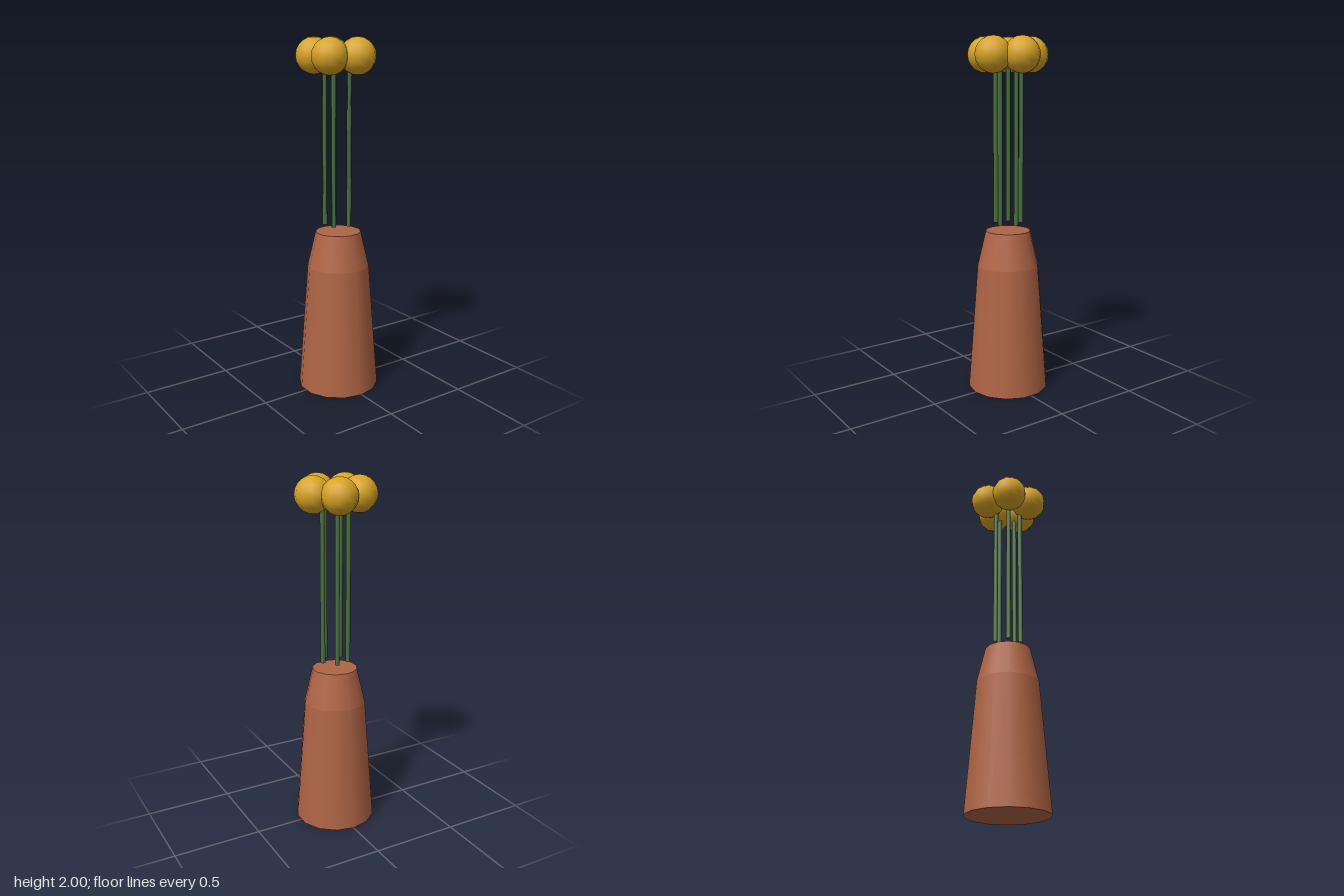
import * as THREE from 'three';

export function createModel() {
  const model = new THREE.Group();
  const terracotta = new THREE.MeshStandardMaterial({ name: 'terracotta', color: 0xb06545 });
  const stemGreen = new THREE.MeshStandardMaterial({ name: 'stem green', color: 0x4a7340 });
  const golden = new THREE.MeshStandardMaterial({ name: 'golden yellow', color: 0xd8a425 });

  function add(parent, name, geometry, material, x, y, z) {
    const mesh = new THREE.Mesh(geometry, material);
    mesh.name = name;
    mesh.position.set(x, y, z);
    parent.add(mesh);
  }

  // Fourteen-sided vase: tall tapered body and a steeper shoulder
  const vase = new THREE.Group();
  vase.name = 'vase';
  add(vase, 'vaseBody', new THREE.CylinderGeometry(0.175, 0.231, 0.725, 14), terracotta, 0, 0.3625, 0);
  add(vase, 'vaseShoulder', new THREE.CylinderGeometry(0.128, 0.175, 0.2, 14), terracotta, 0, 0.825, 0);
  model.add(vase);

  // Ring of five stems, each topped by a round bloom set further out
  const stemBottom = 0.965, stemTop = 1.86;
  const stemGeometry = new THREE.CylinderGeometry(0.014, 0.014, stemTop - stemBottom, 5);
  const bloomGeometry = new THREE.SphereGeometry(0.1, 12, 10);
  for (let i = 0; i < 5; i++) {
    const angle = (i / 5) * Math.PI * 2;
    const c = Math.cos(angle), s = Math.sin(angle);
    const flower = new THREE.Group();
    flower.name = 'flower' + (i + 1);
    add(flower, 'stem', stemGeometry, stemGreen, 0.075 * c, (stemBottom + stemTop) / 2, 0.075 * s);
    add(flower, 'bloom', bloomGeometry, golden, 0.13 * c, 1.9, 0.13 * s);
    model.add(flower);
  }

  // Centre the whole arrangement
  model.children.forEach((part) => { part.position.x = -0.003; });
  return model;
}
